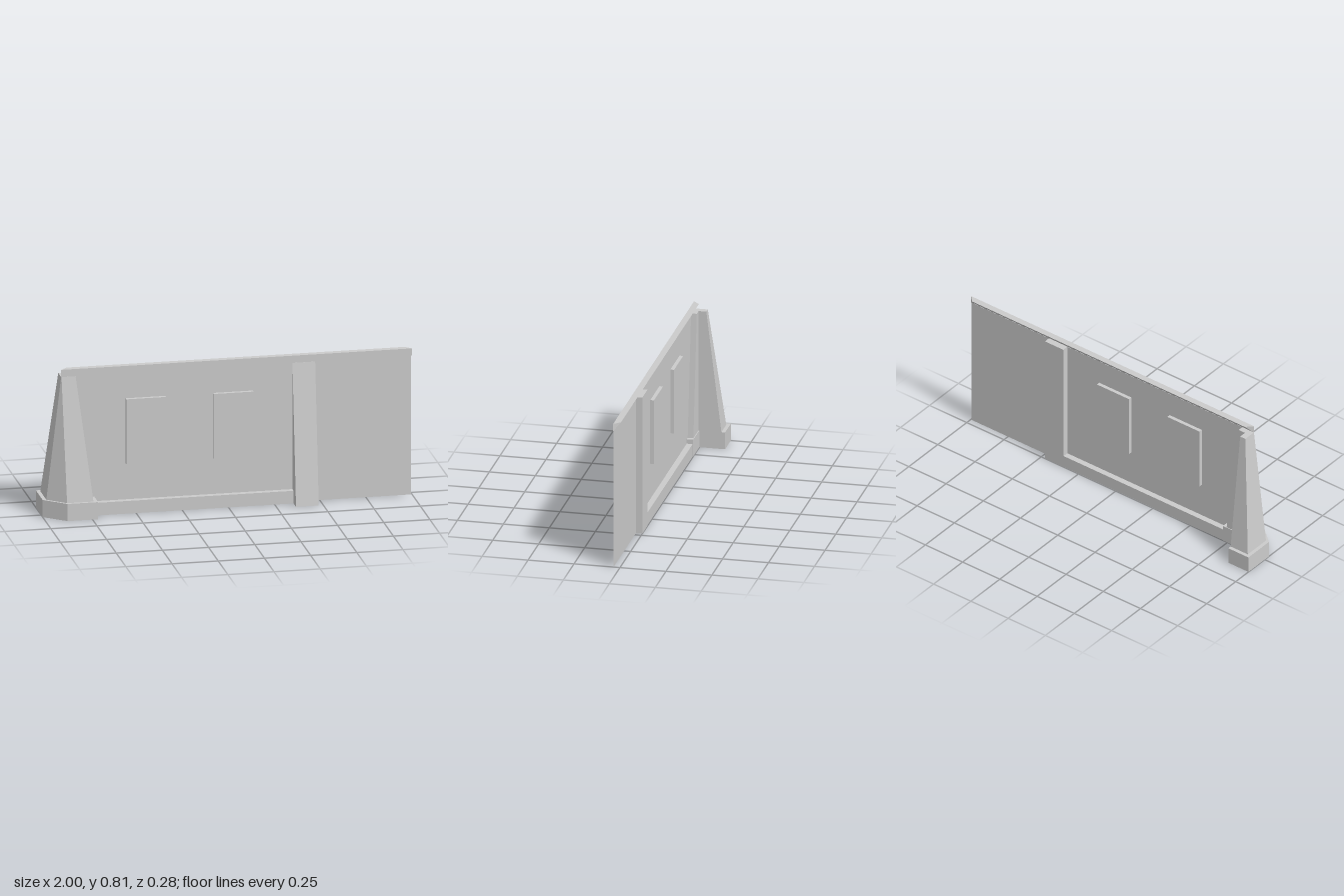
import * as THREE from 'three';

const material = new THREE.MeshStandardMaterial({ color: 0xcccccc, flatShading: true });
const thinMaterial = new THREE.MeshStandardMaterial({ color: 0xcccccc, side: THREE.DoubleSide });

// Closed solid between two matching [x, z] outlines at heights y0 and y1.
function loft(lower, y0, upper, y1) {
  const flat = (ring) => ring.map(([x, z]) => new THREE.Vector2(x, -z));
  let a = flat(lower), b = flat(upper);
  if (THREE.ShapeUtils.isClockWise(a)) { a.reverse(); b.reverse(); }
  const positions = [];
  const add = (p, y) => positions.push(p.x, y, -p.y);
  a.forEach((p, i) => {
    const j = (i + 1) % a.length;
    add(p, y0); add(a[j], y0); add(b[j], y1);
    add(p, y0); add(b[j], y1); add(b[i], y1);
  });
  for (const [i, j, k] of THREE.ShapeUtils.triangulateShape(a, [])) {
    add(a[k], y0); add(a[j], y0); add(a[i], y0);
  }
  for (const [i, j, k] of THREE.ShapeUtils.triangulateShape(b, [])) {
    add(b[i], y1); add(b[j], y1); add(b[k], y1);
  }
  const geometry = new THREE.BufferGeometry();
  geometry.setAttribute('position', new THREE.Float32BufferAttribute(positions, 3));
  geometry.computeVertexNormals();
  return geometry;
}

const rect = (x0, x1, z0, z1) => [[x0, z0], [x1, z0], [x1, z1], [x0, z1]];

export function createModel() {
  const group = new THREE.Group();
  const add = (name, geometry, mat = material) => {
    const mesh = new THREE.Mesh(geometry, mat);
    mesh.name = name;
    group.add(mesh);
    return mesh;
  };
  const block = (name, x0, x1, y0, y1, z0, z1) =>
    add(name, loft(rect(x0, x1, z0, z1), y0, rect(x0, x1, z0, z1), y1));

  const wallZ = 0.035, wallTop = 0.77;

  // Thin wall sheet
  const left = -0.88, right = 0.995;
  add('wall', new THREE.PlaneGeometry(right - left, wallTop), thinMaterial)
    .position.set((left + right) / 2, wallTop / 2, wallZ);

  // Wedge-shaped coping with mitred ends
  add('coping', loft(
    [[-0.9, 0.037], [1, 0.037], [0.999, 0.036], [-0.899, 0.036]], wallTop,
    [[-0.9, 0.037], [1, 0.037], [0.965, 0.002], [-0.865, 0.002]], 0.81));

  // Raised panels, standing proud on both faces
  for (const x of [-0.443, 0.03]) block('panel', x - 0.108, x + 0.108, 0.27, 0.63, 0.015, 0.055);

  // Plinth along the foot of the wall
  block('plinth', -0.74, 0.36, 0, 0.07, 0.003, 0.067);

  // Sloping buttress
  add('buttress', loft(rect(0.352, 0.475, 0, 0.13), 0, rect(0.352, 0.475, 0, 0.038), wallTop));

  // Chamfered L-shaped corner pillar and its footing
  const footing = [[-1, -0.14], [-0.865, -0.14], [-0.865, 0], [-0.72, 0],
    [-0.72, 0.135], [-0.885, 0.135], [-1, 0.037]];
  add('pillarFooting', loft(footing, 0, footing, 0.095));
  add('cornerPillar', loft(
    [[-0.98, -0.12], [-0.865, -0.12], [-0.865, 0.004], [-0.742, 0.004],
      [-0.742, 0.12], [-0.885, 0.12], [-0.98, 0.037]], 0.095,
    [[-0.9, -0.038], [-0.865, -0.038], [-0.865, 0.004], [-0.822, 0.004],
      [-0.822, 0.038], [-0.898, 0.038], [-0.9, 0.036]], wallTop));

  return group;
}
